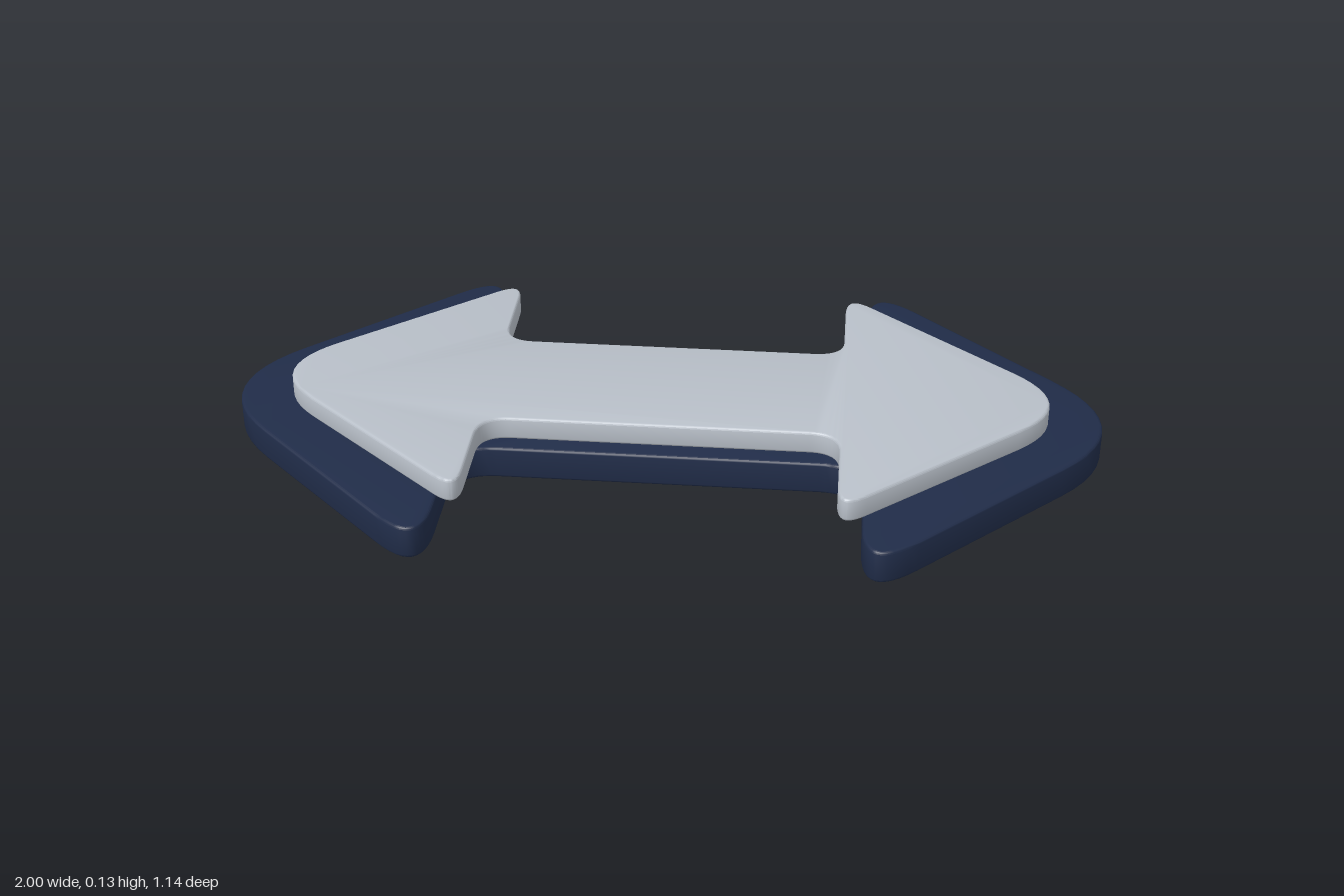
import * as THREE from 'three';
import { toCreasedNormals } from 'three/addons/utils/BufferGeometryUtils.js';

// Double-headed arrow outline. Each corner is [x, z, rounding distance].
function arrowShape(quarter) {
  const [tip, wing, notch] = quarter;
  const flip = (c, sx, sz) => [c[0] * sx, c[1] * sz, c[2]];
  const corners = [
    tip, wing, notch,
    flip(notch, -1, 1), flip(wing, -1, 1), flip(tip, -1, 1),
    flip(wing, -1, -1), flip(notch, -1, -1),
    flip(notch, 1, -1), flip(wing, 1, -1),
  ];
  const shape = new THREE.Shape();
  corners.forEach((c, i) => {
    const p = new THREE.Vector2(c[0], c[1]);
    const toward = (o) => new THREE.Vector2(o[0], o[1]).sub(p).setLength(c[2]).add(p);
    const a = toward(corners[(i + corners.length - 1) % corners.length]);
    const b = toward(corners[(i + 1) % corners.length]);
    if (i === 0) shape.moveTo(a.x, a.y);
    else shape.lineTo(a.x, a.y);
    shape.quadraticCurveTo(p.x, p.y, b.x, b.y);
  });
  shape.closePath();
  return shape;
}

// Flat plate with a tiny rounded rim, lying between two heights
function plate(name, quarter, bottom, top, material) {
  const bevel = 0.006;
  const geometry = new THREE.ExtrudeGeometry(arrowShape(quarter), {
    depth: top - bottom - 2 * bevel,
    bevelThickness: bevel,
    bevelSize: bevel,
    bevelOffset: -bevel,
    bevelSegments: 3,
    curveSegments: 12,
  });
  geometry.rotateX(-Math.PI / 2);
  geometry.translate(0, bottom + bevel, 0);
  const mesh = new THREE.Mesh(toCreasedNormals(geometry, 0.65), material);
  mesh.name = name;
  return mesh;
}

export function createModel() {
  const navy = new THREE.MeshStandardMaterial({ name: 'navy', color: 0x202c48 });
  const paleGrey = new THREE.MeshStandardMaterial({ name: 'pale grey', color: 0xb8bfc8 });

  const group = new THREE.Group();
  group.name = 'doubleArrow';
  group.add(
    // Dark backing arrow
    plate('basePlate', [[1.1, 0, 0.283], [0.46, 0.64, 0.17], [0.46, 0.23, 0.1]], 0, 0.076, navy),
    // Smaller light arrow on top
    plate('topPlate', [[0.951, 0, 0.2], [0.405, 0.49, 0.085], [0.405, 0.185, 0.07]], 0.075, 0.129, paleGrey),
  );
  return group;
}
